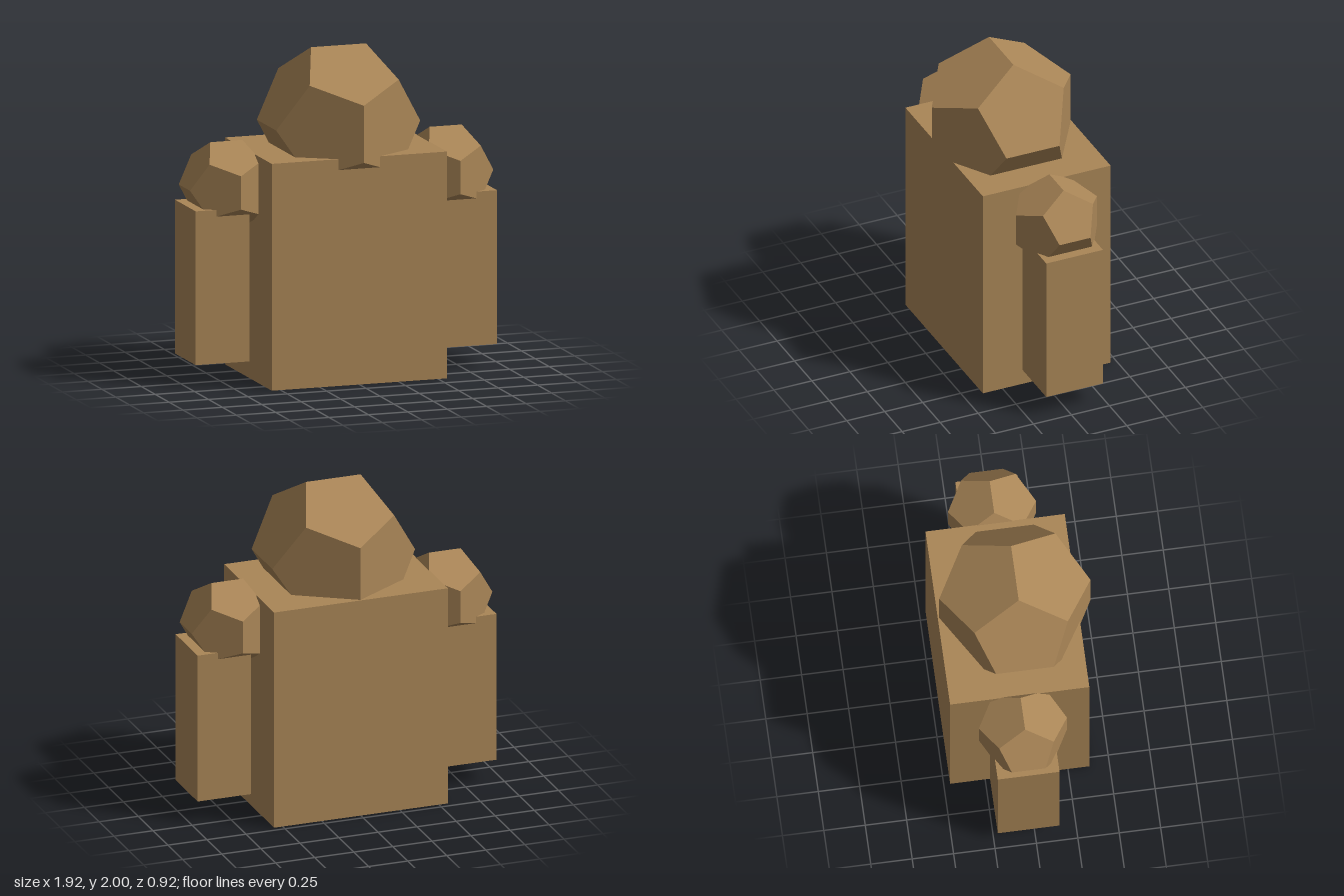
import * as THREE from 'three';

export function createModel() {
  const model = new THREE.Group();
  const stone = new THREE.MeshStandardMaterial({ color: 0xaa8657 });
  stone.name = 'sandy brown';
  stone.flatShading = true;

  const add = (name, geometry, x, y, z) => {
    const mesh = new THREE.Mesh(geometry, stone);
    mesh.name = name;
    mesh.position.set(x, y, z);
    model.add(mesh);
  };

  // Block torso with the faceted head sunk into its top
  add('torso', new THREE.BoxGeometry(1.112, 1.385, 0.841), 0, 0.6925, -0.041);
  add('head', new THREE.DodecahedronGeometry(0.489), 0, 1.543, 0.004);

  // Faceted shoulders and hanging block arms
  for (const [side, s] of [['left', 1], ['right', -1]]) {
    add(side + 'Shoulder', new THREE.DodecahedronGeometry(0.285), s * 0.696, 1.187, -0.041);
    add(side + 'Arm', new THREE.BoxGeometry(0.342, 0.939, 0.373), s * 0.785, 0.6075, -0.041);
  }
  return model;
}
